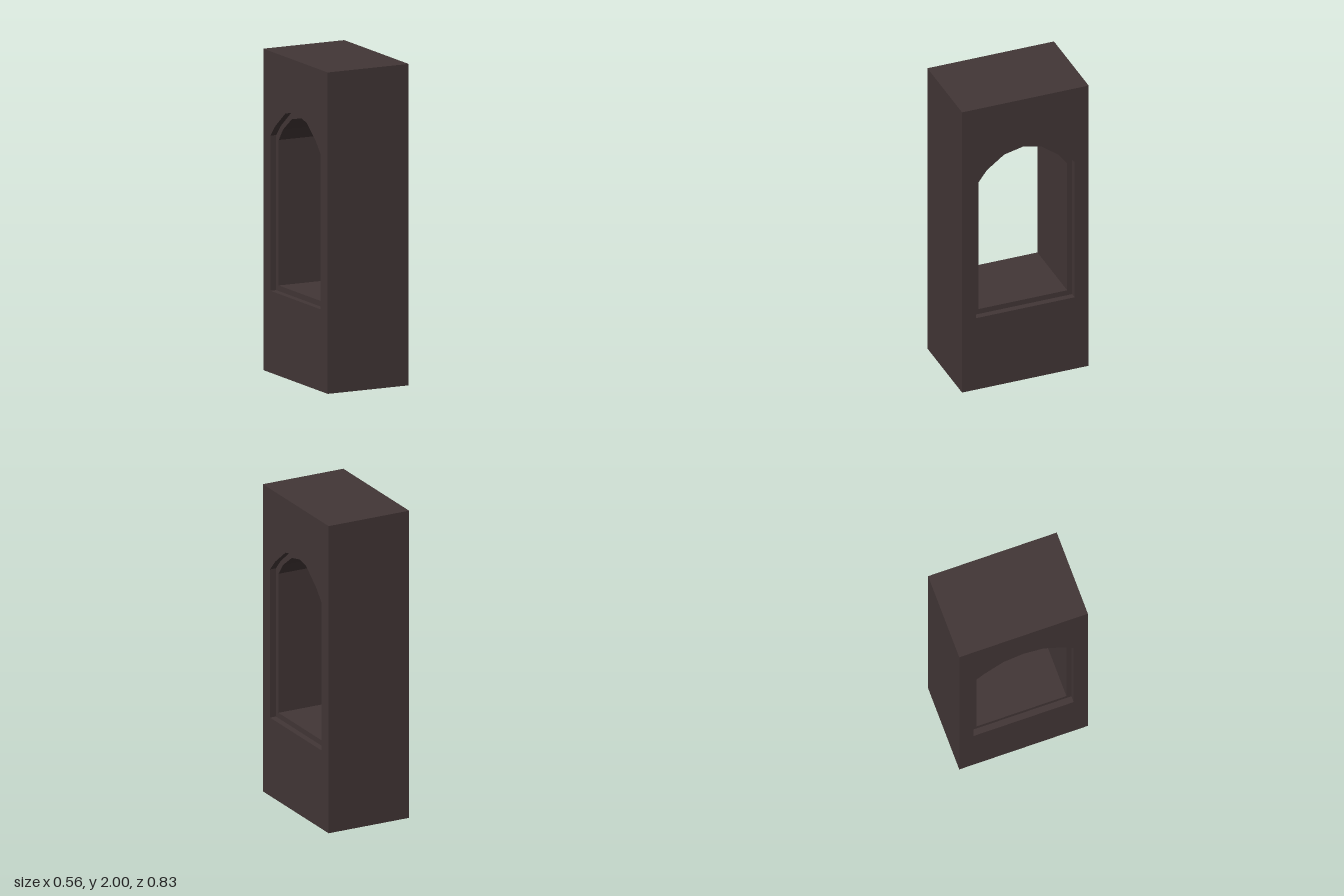
import * as THREE from 'three';

const HALF_W = 0.28, HALF_D = 0.417, HEIGHT = 2, LEDGE = 0.24;

// Counter-clockwise outline mirrored from its right half (bottom to apex)
function mirrored(right, apex) {
  const left = right.slice().reverse().map(([x, y]) => [-x, y]);
  return [...right, ...(apex ? [apex] : []), ...left].map(([x, y]) => new THREE.Vector2(x, y));
}

const wall = mirrored([[HALF_D, 0], [HALF_D, HEIGHT]]);
const recess = mirrored([[0.325, 0.51], [0.325, 1.475], [0.26, 1.547], [0.13, 1.648]], [0, 1.675]);
const opening = mirrored([[0.292, 0.545], [0.292, 1.45], [0.237, 1.524], [0.123, 1.609]], [0, 1.637]);

// Flat plate with a hole, facing +z
function plate(outer, hole, z) {
  const shape = new THREE.Shape(outer);
  shape.holes.push(new THREE.Path(hole));
  return new THREE.ShapeGeometry(shape).translate(0, 0, z);
}

// Band of flat quads along a closed outline, facing outward or inward
function band(outline, z0, z1, inward = false) {
  const loop = inward ? outline.slice().reverse() : outline;
  const pos = [];
  loop.forEach((a, i) => {
    const b = loop[(i + 1) % loop.length];
    pos.push(a.x, a.y, z0, b.x, b.y, z0, b.x, b.y, z1);
    pos.push(a.x, a.y, z0, b.x, b.y, z1, a.x, a.y, z1);
  });
  const geo = new THREE.BufferGeometry();
  geo.setAttribute('position', new THREE.Float32BufferAttribute(pos, 3));
  geo.computeVertexNormals();
  return geo;
}

export function createModel() {
  const model = new THREE.Group();
  model.name = 'archedWindowWall';
  const stone = new THREE.MeshStandardMaterial({ color: 0x423636 });
  stone.name = 'darkStone';
  const add = (parent, name, geo) => {
    const mesh = new THREE.Mesh(geo, stone);
    mesh.name = name;
    parent.add(mesh);
  };

  // Outer block and the tunnel through it
  const body = new THREE.Group();
  body.name = 'wallBlock';
  body.rotation.y = Math.PI / 2;
  model.add(body);
  add(body, 'outerWalls', band(wall, -HALF_W, HALF_W));
  add(body, 'windowTunnel', band(opening, -LEDGE, LEDGE, true));

  // Each pierced face has a shallow stepped recess around the opening
  for (const side of [1, -1]) {
    const face = new THREE.Group();
    face.name = side > 0 ? 'leftFace' : 'rightFace';
    face.rotation.y = side * Math.PI / 2;
    add(face, 'facePlate', plate(wall, recess, HALF_W));
    add(face, 'recessReveal', band(recess, LEDGE, HALF_W, true));
    add(face, 'recessLedge', plate(recess, opening, LEDGE));
    model.add(face);
  }
  return model;
}
